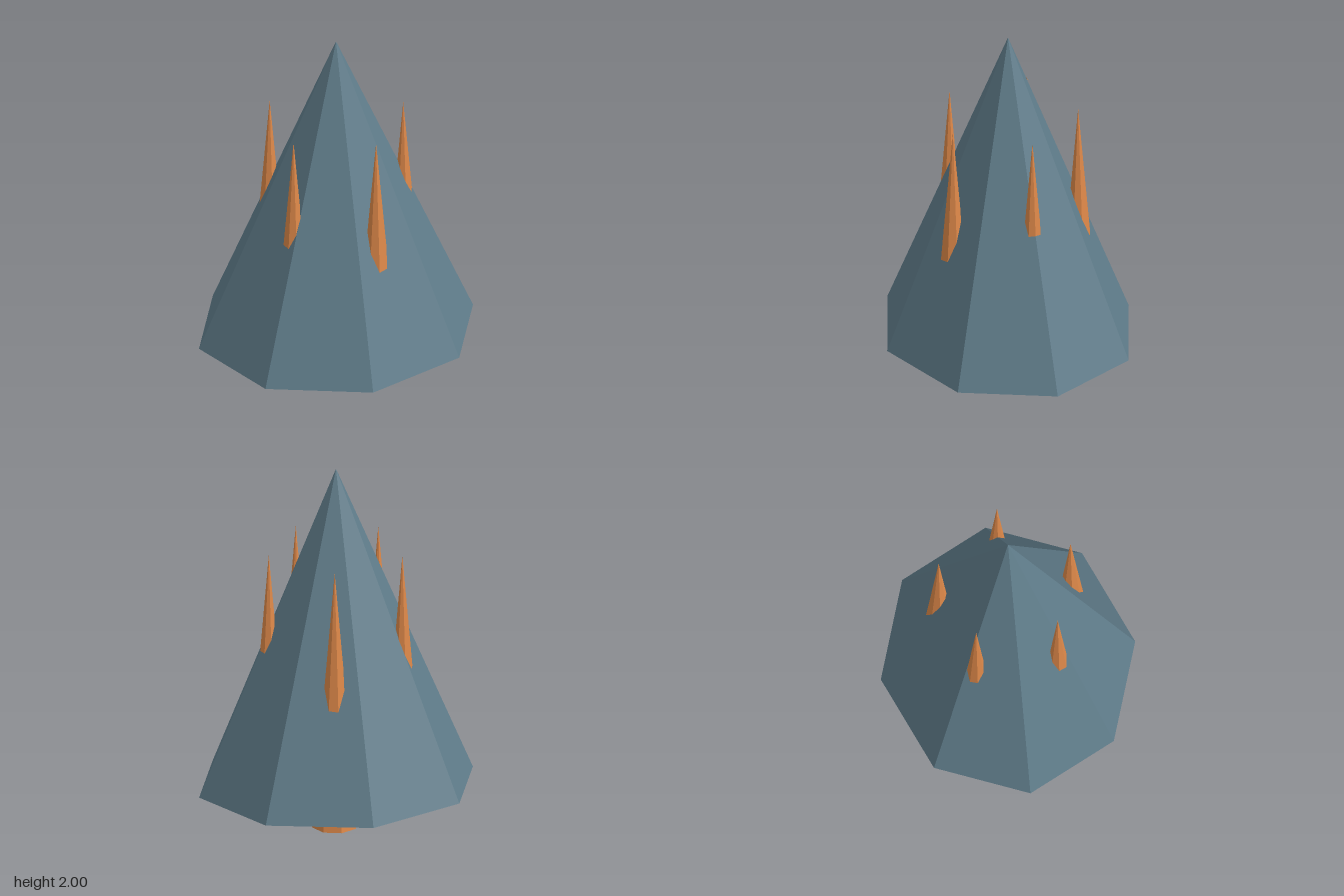
import * as THREE from 'three';

const bodyMat = new THREE.MeshStandardMaterial({ color: 0x607d8b, flatShading: true });
const spikeMat = new THREE.MeshStandardMaterial({ color: 0xe08a4a, flatShading: true });

// Eight-sided cone standing on y = bottom
function cone(name, radius, bottom, top, material) {
  const geometry = new THREE.ConeGeometry(radius, top - bottom, 8);
  geometry.translate(0, (top + bottom) / 2, 0);
  const mesh = new THREE.Mesh(geometry, material);
  mesh.name = name;
  return mesh;
}

export function createModel() {
  const model = new THREE.Group();
  model.name = 'spikedCone';

  // Main body, slightly narrower front to back
  const body = cone('body', 0.805, 0.1, 2, bodyMat);
  body.scale.z = 0.9;
  model.add(body);

  // Ring of five spikes: bases poke out below as feet, tips through the sides
  const count = 5, ring = 0.395;
  for (let i = 0; i < count; i++) {
    const a = (i / count) * Math.PI * 2;
    const spike = cone('spike' + (i + 1), 0.134, 0, 1.525, spikeMat);
    spike.position.set(ring * Math.cos(a), 0, ring * Math.sin(a));
    model.add(spike);
  }
  return model;
}
